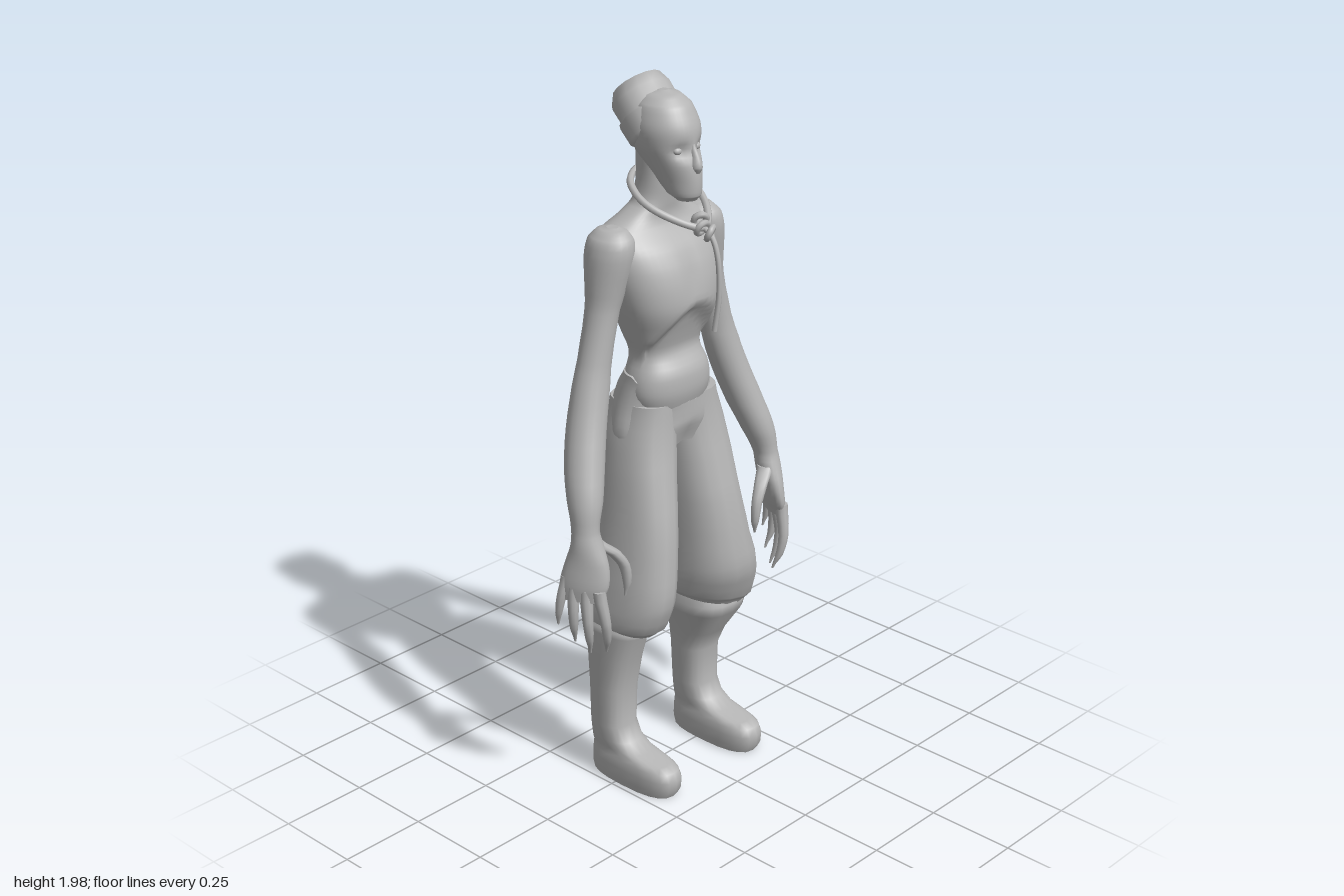
import * as THREE from 'three';

const grey = new THREE.MeshStandardMaterial({ color: 0xb4b4b4 });
grey.name = 'plain grey';

const catmull = (a, b, c, d, t) =>
  0.5 * (2 * b + (c - a) * t + (2 * a - 5 * b + 4 * c - d) * t * t + (3 * b - a - 3 * c + d) * t * t * t);

// Loft through horizontal sections [y, xMin, xMax, zMin, zMax], listed from the bottom up.
function loft(sections, { sides = 20, steps = 3, power = 2, deform = null } = {}) {
  const rows = [];
  const at = (i) => sections[Math.min(Math.max(i, 0), sections.length - 1)];
  for (let i = 0; i < sections.length - 1; i++) {
    for (let k = 0; k < steps; k++) {
      const t = k / steps;
      rows.push(at(i).map((v, j) => j === 0
        ? v + (at(i + 1)[0] - v) * t
        : catmull(at(i - 1)[j], v, at(i + 1)[j], at(i + 2)[j], t)));
    }
  }
  rows.push(at(sections.length - 1));
  const pos = [], index = [];
  const ringOf = ([y, x0, x1, z0, z1]) => {
    for (let s = 0; s < sides; s++) {
      const a = (s / sides) * Math.PI * 2, c = Math.cos(a), d = Math.sin(a);
      const p = new THREE.Vector3(
        (x0 + x1) / 2 + ((x1 - x0) / 2) * Math.sign(c) * Math.abs(c) ** (2 / power), y,
        (z0 + z1) / 2 + ((z1 - z0) / 2) * Math.sign(d) * Math.abs(d) ** (2 / power));
      if (deform) deform(p);
      pos.push(p.x, p.y, p.z);
    }
  };
  rows.forEach(ringOf);
  for (let r = 0; r < rows.length - 1; r++) {
    for (let s = 0; s < sides; s++) {
      const a = r * sides + s, b = r * sides + (s + 1) % sides;
      index.push(a, a + sides, b, b, a + sides, b + sides);
    }
  }
  // End caps with their own vertices, so the rims stay crisp
  for (const top of [false, true]) {
    const row = top ? rows[rows.length - 1] : rows[0], base = pos.length / 3;
    ringOf(row);
    const mid = new THREE.Vector3((row[1] + row[2]) / 2, row[0], (row[3] + row[4]) / 2);
    if (deform) deform(mid);
    pos.push(mid.x, mid.y, mid.z);
    for (let s = 0; s < sides; s++) {
      const a = base + s, b = base + (s + 1) % sides;
      index.push(base + sides, top ? b : a, top ? a : b);
    }
  }
  const g = new THREE.BufferGeometry();
  g.setAttribute('position', new THREE.Float32BufferAttribute(pos, 3));
  g.setIndex(index);
  g.computeVertexNormals();
  return g;
}

// Symmetric sections [y, halfWidth, zMin, zMax]
const even = (list) => list.map(([y, w, z0, z1]) => [y, -w, w, z0, z1]);
// Round sections [x, y, z, radius]
const round = (list) => list.map(([x, y, z, r]) => [y, x - r, x + r, z - r, z + r]);
const flip = (list, s) => (s > 0 ? list : list.map(([y, a, b, c, d]) => [y, -b, -a, c, d]));

function add(parent, name, geometry) {
  const m = new THREE.Mesh(geometry, grey);
  m.name = name;
  parent.add(m);
  return m;
}

const bell = (v, w) => Math.exp(-((v / w) ** 2));

function makeTorso(g) {
  add(g, 'torso', loft(even([
    [1.08, 0.11, -0.09, 0.05], [1.14, 0.13, -0.105, 0.066], [1.19, 0.128, -0.11, 0.066],
    [1.25, 0.11, -0.105, 0.055], [1.31, 0.128, -0.125, 0.068], [1.38, 0.152, -0.153, 0.09],
    [1.44, 0.168, -0.172, 0.088], [1.5, 0.18, -0.186, 0.072], [1.55, 0.185, -0.182, 0.045],
    [1.595, 0.175, -0.155, 0.005], [1.625, 0.12, -0.132, -0.008], [1.66, 0.07, -0.114, -0.006],
    [1.72, 0.056, -0.108, 0], [1.8, 0.055, -0.11, 0],
  ]), {
    sides: 48, steps: 4, power: 2.25,
    deform: (p) => {
      const x = Math.abs(p.x);
      if (p.z > 0 && p.y < 1.6) {
        // Rib arch above a sunken belly, with a shallow breastbone groove
        const below = 1.395 - 9 * x * x - p.y;
        const sunk = THREE.MathUtils.smoothstep(below, -0.01, 0.025) * THREE.MathUtils.smoothstep(p.y, 1.2, 1.27);
        p.z -= 0.026 * sunk * bell(x, 0.12) + 0.009 * bell(x, 0.02) * bell(p.y - 1.47, 0.07);
      } else if (p.z < -0.03 && p.y < 1.62) {
        // Spine groove
        p.z += 0.016 * bell(x, 0.03) * bell(p.y - 1.38, 0.17);
      }
    },
  }));
}

function makeHead(g) {
  const head = new THREE.Group();
  head.name = 'head';
  g.add(head);
  add(head, 'skull', loft(even([
    [1.68, 0.027, 0.02, 0.078], [1.695, 0.04, -0.01, 0.09], [1.735, 0.05, -0.06, 0.092],
    [1.775, 0.064, -0.1, 0.087], [1.82, 0.08, -0.122, 0.076], [1.87, 0.085, -0.125, 0.07],
    [1.92, 0.07, -0.11, 0.045], [1.945, 0.045, -0.09, 0.015], [1.955, 0.012, -0.05, -0.02],
  ]), {
    sides: 40, steps: 4,
    deform: (p) => {
      // Eye sockets
      if (p.z > 0) p.z -= 0.016 * bell(Math.abs(p.x) - 0.034, 0.02) * bell(p.y - 1.812, 0.018);
    },
  }));
  add(head, 'nose', loft(even([
    [1.755, 0.008, 0.07, 0.093], [1.772, 0.016, 0.06, 0.102], [1.8, 0.01, 0.06, 0.092], [1.83, 0.007, 0.05, 0.076],
  ]), { sides: 10 }));
  for (const s of [1, -1]) {
    const eye = add(head, 'eye', new THREE.SphereGeometry(0.013, 14, 10));
    eye.scale.set(1.1, 0.8, 0.8);
    eye.position.set(s * 0.034, 1.814, 0.049);
  }
  // Cap tipped towards the back of the head
  const cap = add(head, 'cap', loft(even([
    [-0.015, 0.084, -0.079, 0.078], [-0.005, 0.092, -0.086, 0.084], [0.045, 0.096, -0.09, 0.086],
    [0.052, 0.086, -0.082, 0.078], [0.1, 0.088, -0.086, 0.075], [0.132, 0.07, -0.066, 0.066], [0.14, 0.04, -0.04, 0.04],
  ]), { sides: 14, steps: 1 }));
  cap.position.set(0.002, 1.85, -0.048);
  cap.rotation.set(-0.73, 0, -0.05);
}

function makeRope(g) {
  const rope = new THREE.Group();
  rope.name = 'rope';
  g.add(rope);
  const V = (x, y, z) => new THREE.Vector3(x, y, z);
  const tube = (name, pts, r, closed = false) =>
    add(rope, name, new THREE.TubeGeometry(new THREE.CatmullRomCurve3(pts, closed), 48, r, 8, closed));
  tube('ropeLoop', [V(0, 1.732, -0.115), V(0.07, 1.715, -0.085), V(0.097, 1.68, -0.015), V(0.07, 1.645, 0.055),
    V(0, 1.615, 0.11), V(-0.07, 1.645, 0.055), V(-0.097, 1.68, -0.015), V(-0.07, 1.715, -0.085)], 0.01, true);
  tube('ropeEnd', [V(0, 1.62, 0.1), V(0, 1.597, 0.137), V(-0.002, 1.55, 0.16), V(-0.008, 1.45, 0.172),
    V(-0.018, 1.35, 0.166)], 0.0075);
  [[0.008, 1.63, 0.09], [-0.006, 1.615, 0.108], [0.006, 1.603, 0.126]].forEach(([x, y, z], i) => {
    const knot = add(rope, 'knotTurn', new THREE.TorusGeometry(0.017, 0.009, 8, 18));
    knot.position.set(x, y, z);
    knot.rotation.set(0.5, 0.5 * (i - 1), 0);
  });
}

function makeArm(g, s) {
  const arm = new THREE.Group();
  arm.name = s > 0 ? 'leftArm' : 'rightArm';
  g.add(arm);
  add(arm, 'armAndPalm', loft(flip([
    [0.655, 0.365, 0.405, -0.025, 0.085], [0.7, 0.348, 0.408, -0.028, 0.098], [0.76, 0.332, 0.402, -0.02, 0.09],
    [0.81, 0.322, 0.398, -0.012, 0.072], [0.85, 0.322, 0.392, -0.018, 0.06], [0.92, 0.295, 0.388, -0.045, 0.055],
    [1.0, 0.264, 0.37, -0.075, 0.035], [1.1, 0.23, 0.338, -0.098, 0.01], [1.2, 0.2, 0.305, -0.106, -0.008],
    [1.27, 0.186, 0.28, -0.106, -0.016], [1.4, 0.155, 0.247, -0.11, -0.016], [1.47, 0.128, 0.24, -0.122, -0.004],
    [1.54, 0.11, 0.234, -0.134, 0.008], [1.585, 0.11, 0.222, -0.13, 0.004], [1.61, 0.125, 0.197, -0.108, -0.02],
    [1.617, 0.145, 0.175, -0.08, -0.045],
  ], s), {
    sides: 22,
    // Turn the palm so that the little finger lies outwards
    deform: (p) => { p.x -= s * 0.4 * (p.z - 0.035) * (1 - THREE.MathUtils.smoothstep(p.y, 0.72, 0.88)); },
  }));
  const digit = (name, pts) =>
    add(arm, name, loft(flip(round(pts), s), { sides: 10 }));
  digit('indexFinger', [[0.338, 0.495, 0.075, 0.003], [0.35, 0.54, 0.09, 0.011], [0.361, 0.6, 0.095, 0.015], [0.368, 0.69, 0.078, 0.019]]);
  digit('middleFinger', [[0.366, 0.49, 0.042, 0.003], [0.38, 0.54, 0.053, 0.011], [0.388, 0.6, 0.056, 0.015], [0.383, 0.69, 0.045, 0.019]]);
  digit('ringFinger', [[0.386, 0.52, 0.005, 0.003], [0.4, 0.57, 0.015, 0.011], [0.404, 0.63, 0.018, 0.015], [0.396, 0.7, 0.014, 0.018]]);
  digit('littleFinger', [[0.414, 0.57, -0.03, 0.003], [0.419, 0.61, -0.022, 0.01], [0.415, 0.66, -0.014, 0.014], [0.4, 0.72, -0.008, 0.016]]);
  digit('thumb', [[0.262, 0.635, 0.072, 0.003], [0.258, 0.675, 0.076, 0.012], [0.268, 0.73, 0.074, 0.016],
    [0.298, 0.775, 0.062, 0.02], [0.34, 0.81, 0.04, 0.024]]);
}

function makeTrousers(g) {
  const pants = new THREE.Group();
  pants.name = 'trousers';
  g.add(pants);
  add(pants, 'hips', loft([
    [0.99, -0.16, 0.17, -0.125, 0.045], [1.04, -0.164, 0.185, -0.15, 0.058], [1.1, -0.15, 0.176, -0.16, 0.06],
    [1.16, -0.138, 0.154, -0.14, 0.06], [1.2, -0.133, 0.138, -0.114, 0.06],
  ], {
    sides: 32,
    // Waistband dips at the front
    deform: (p) => {
      if (p.y > 1.04 && p.z > -0.02) p.y -= 0.085 * ((p.y - 1.04) / 0.16) * Math.min(1, (p.z + 0.02) / 0.07);
      // Hollow between the legs
      if (p.y < 1.06) p.z *= 1 - 0.35 * bell(p.x, 0.025) * (1.06 - p.y) / 0.07;
    },
  }));
  add(pants, 'rightTrouserLeg', loft([
    [0.475, -0.222, -0.105, -0.13, 0.08], [0.5, -0.252, -0.082, -0.165, 0.11], [0.58, -0.246, -0.08, -0.155, 0.138],
    [0.68, -0.228, -0.066, -0.143, 0.132], [0.8, -0.206, -0.048, -0.14, 0.114], [0.92, -0.186, -0.022, -0.145, 0.085],
    [1.02, -0.166, 0, -0.15, 0.062], [1.12, -0.14, 0.0, -0.14, 0.05],
  ], { sides: 18, power: 2.3 }));
  add(pants, 'leftTrouserLeg', loft([
    [0.46, 0.06, 0.258, -0.14, 0.085], [0.485, 0.03, 0.288, -0.172, 0.105], [0.57, 0.02, 0.274, -0.162, 0.138],
    [0.66, 0.018, 0.242, -0.143, 0.135], [0.8, 0.014, 0.215, -0.14, 0.114], [0.92, 0.01, 0.205, -0.145, 0.085],
    [1.02, 0.004, 0.192, -0.152, 0.062], [1.12, 0.0, 0.165, -0.145, 0.05],
  ], {
    sides: 18, power: 2.3,
    // Hem hangs lower on the outer side
    deform: (p) => { if (p.y < 0.6) p.y -= 0.25 * (p.x - 0.13) * (0.6 - p.y) / 0.14; },
  }));
}

function makeBoot(g, name, x0, x1, shaft) {
  add(g, name, loft([
    [0.008, x0 + 0.004, x1 - 0.004, -0.12, 0.17], [0.03, x0, x1, -0.125, 0.182], [0.06, x0, x1, -0.124, 0.185],
    [0.083, x0 + 0.003, x1 - 0.003, -0.122, 0.174], [0.094, x0 + 0.008, x1 - 0.008, -0.121, 0.145],
    [0.106, x0 + 0.008, x1 - 0.008, -0.121, 0.075], [0.128, x0 + 0.006, x1 - 0.006, -0.12, 0.028],
    [0.17, x0 + 0.004, x1 - 0.004, -0.121, 0.002], ...shaft,
  ], { sides: 20, steps: 1, power: 2.6 }));
}

export function createModel() {
  const g = new THREE.Group();
  g.name = 'figure';
  makeTorso(g);
  makeHead(g);
  makeRope(g);
  for (const s of [1, -1]) makeArm(g, s);
  makeTrousers(g);
  makeBoot(g, 'rightBoot', -0.24, -0.118, [
    [0.28, -0.235, -0.114, -0.126, 0], [0.38, -0.235, -0.11, -0.135, 0.02],
    [0.46, -0.235, -0.108, -0.14, 0.045], [0.475, -0.232, -0.108, -0.14, 0.05], [0.5, -0.215, -0.125, -0.12, 0.035]]);
  makeBoot(g, 'leftBoot', 0.094, 0.218, [
    [0.28, 0.097, 0.222, -0.128, 0], [0.34, 0.09, 0.232, -0.134, 0.025],
    [0.42, 0.066, 0.258, -0.143, 0.078], [0.455, 0.056, 0.262, -0.145, 0.088], [0.5, 0.08, 0.24, -0.12, 0.06]]);
  return g;
}
